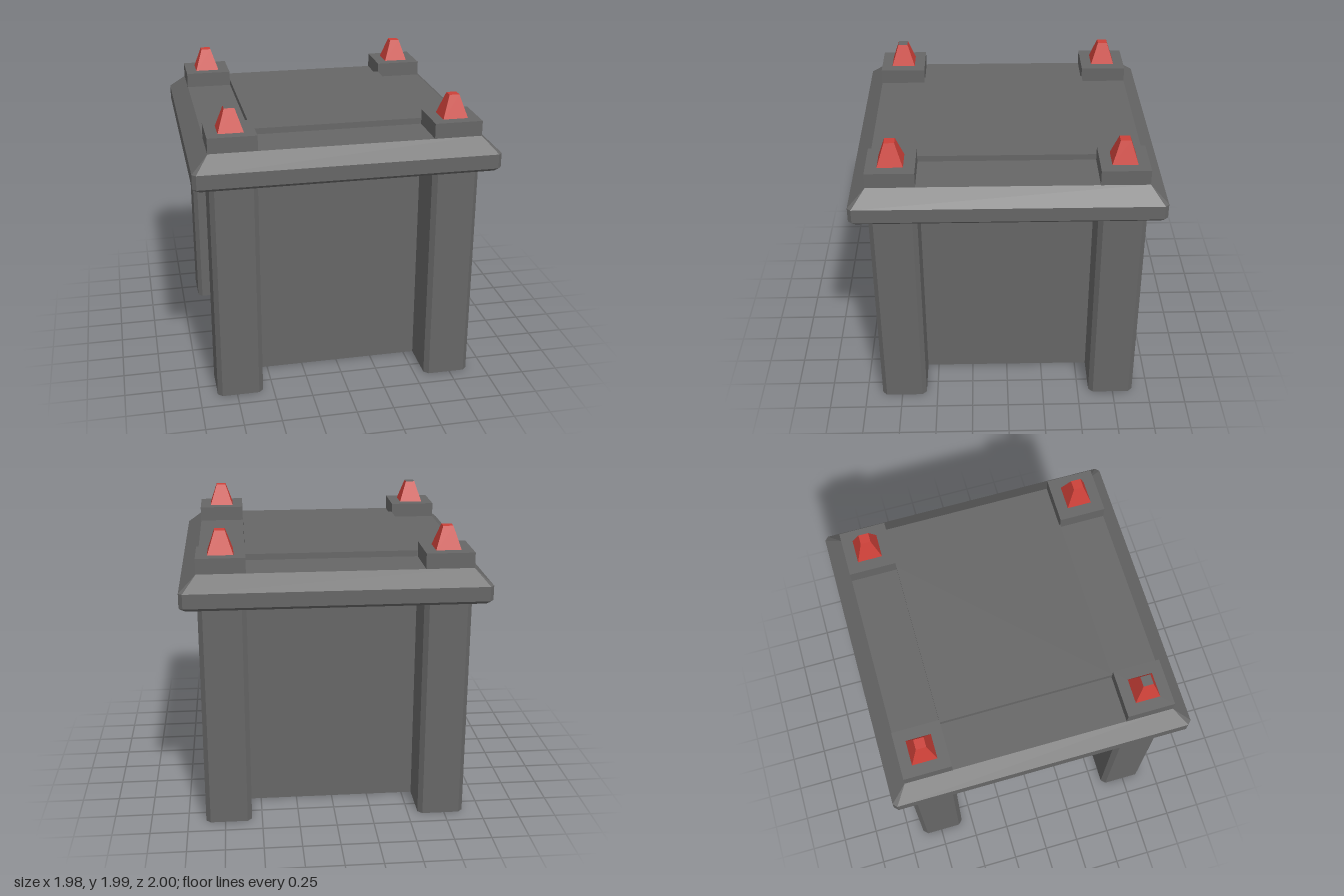
import * as THREE from 'three';

const grey = new THREE.MeshStandardMaterial({ color: 0x666666, flatShading: true, side: THREE.DoubleSide });
const red = new THREE.MeshStandardMaterial({ color: 0xcc4038, flatShading: true, side: THREE.DoubleSide });

// Corner signs, counter-clockwise seen from above
const CORNERS = [[1, 1], [1, -1], [-1, -1], [-1, 1]];

// Rectangle at height y with each corner cut by its own chamfer
function ring(hx, hz, y, cuts) {
  return CORNERS.flatMap(([sx, sz], i) => {
    const a = [sx * (hx - cuts[i]), y, sz * hz];
    const b = [sx * hx, y, sz * (hz - cuts[i])];
    return i % 2 ? [b, a] : [a, b];
  });
}

// Joins rings from bottom to top, with optional end caps
function loft(rings, capped) {
  const pos = [];
  const n = rings[0].length;
  for (let i = 0; i < rings.length - 1; i++) {
    for (let j = 0; j < n; j++) {
      const k = (j + 1) % n;
      const a = rings[i][j], b = rings[i][k], c = rings[i + 1][k], d = rings[i + 1][j];
      pos.push(...a, ...b, ...c, ...a, ...c, ...d);
    }
  }
  if (capped) {
    const bottom = rings[0], top = rings[rings.length - 1];
    for (let j = 1; j < n - 1; j++) {
      pos.push(...top[0], ...top[j], ...top[j + 1]);
      pos.push(...bottom[0], ...bottom[j + 1], ...bottom[j]);
    }
  }
  const geo = new THREE.BufferGeometry();
  geo.setAttribute('position', new THREE.Float32BufferAttribute(pos, 3));
  geo.computeVertexNormals();
  return geo;
}

export function createModel() {
  const model = new THREE.Group();
  const add = (name, geo, mat, x = 0, y = 0, z = 0) => {
    const mesh = new THREE.Mesh(geo, mat);
    mesh.name = name;
    mesh.position.set(x, y, z);
    model.add(mesh);
    return mesh;
  };
  const none = [0, 0, 0, 0];
  const lidCut = [0.025, 0.025, 0.025, 0.025];

  // Hollow body, open underneath
  add('body', loft([ring(0.57, 0.578, 0, none), ring(0.57, 0.578, 1.54, none)], false), grey);

  // Overhanging lid with bevelled top
  add('lid', loft([
    ring(0.97, 0.98, 1.535, lidCut),
    ring(0.99, 1.0, 1.555, lidCut),
    ring(0.99, 1.0, 1.65, lidCut),
    ring(0.88, 0.89, 1.745, none),
  ], true), grey);

  // Raised centre panel
  add('lidPanel', new THREE.BoxGeometry(1.135, 0.04, 1.156), grey, 0, 1.765, 0);

  CORNERS.forEach(([sx, sz], i) => {
    const x = sx * 0.725, z = sz * 0.734;

    // Hollow corner post, chamfered on its three exposed edges
    const cuts = [0.03, 0.03, 0.03, 0.03];
    cuts[(i + 2) % 4] = 0;
    add('cornerPost', loft([ring(0.155, 0.156, 0, cuts), ring(0.155, 0.156, 1.54, cuts)], false), grey, x, 0, z);

    // Corner pad
    add('cornerPad', new THREE.BoxGeometry(0.313, 0.1, 0.312), grey, x, 1.795, z);

    // Tapered stud; the front right one has a grey tip
    const stud = new THREE.CylinderGeometry(0.033 * Math.SQRT2, 0.082 * Math.SQRT2, 0.147, 4);
    stud.rotateY(Math.PI / 4);
    const tip = sx < 0 && sz > 0 ? grey : red;
    add('cornerStud', stud, [red, tip, red], x, 1.9185, z);
  });

  return model;
}
